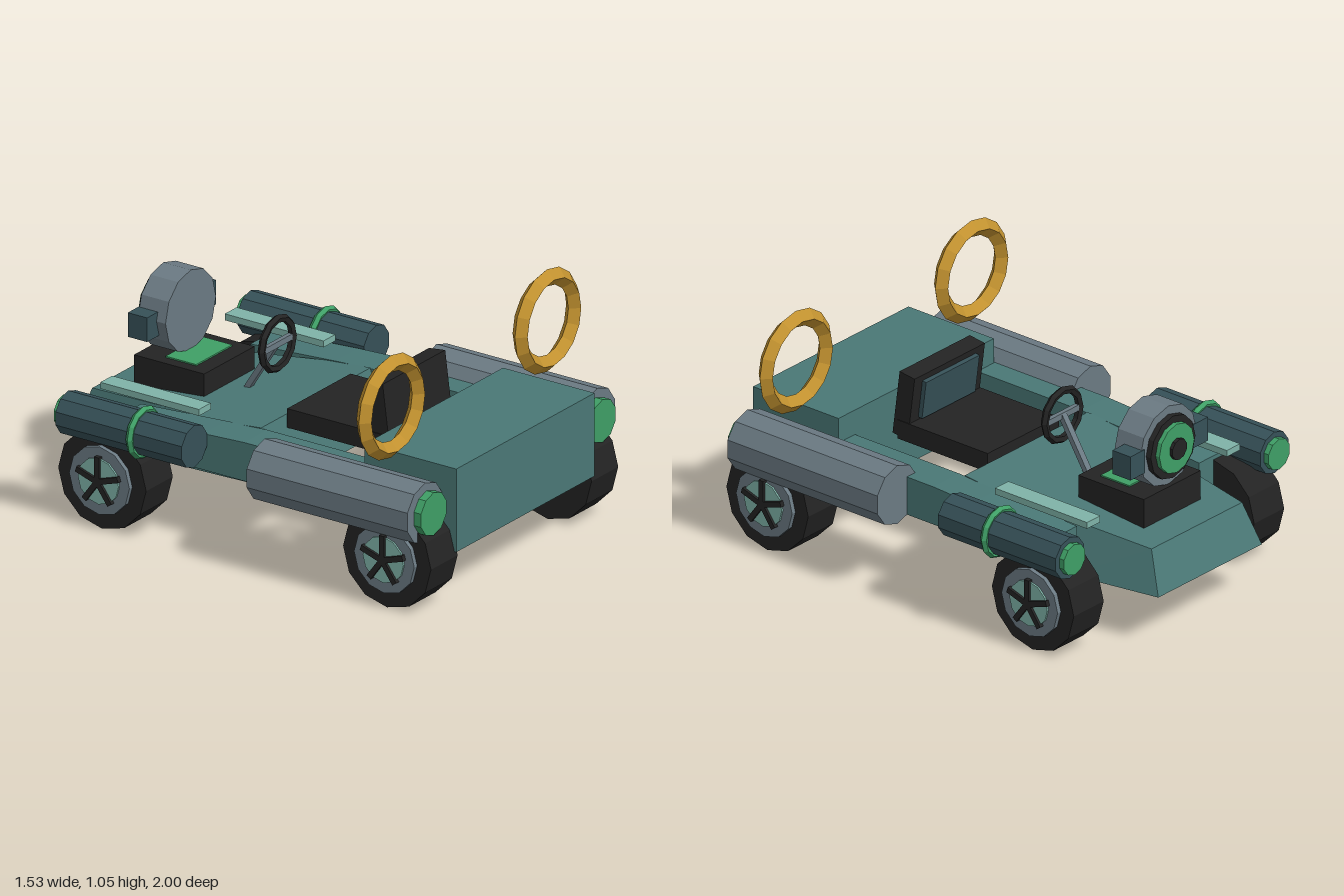
import * as THREE from 'three';

const mat = (name, color, extra = {}) => {
  const m = new THREE.MeshStandardMaterial({ color, flatShading: true, ...extra });
  m.name = name;
  return m;
};

export function createModel() {
  const M = {
    teal: mat('body teal', 0x4a7876),
    gray: mat('steel gray', 0x6b7a83),
    slate: mat('dark slate', 0x365158),
    black: mat('black', 0x232323),
    green: mat('glow green', 0x3f9f66),
    gold: mat('gold', 0xc1912f),
    mint: mat('pale mint', 0x7fb3a8),
  };
  const root = new THREE.Group();
  root.name = 'kart';

  const add = (parent, name, geo, material, x = 0, y = 0, z = 0) => {
    const mesh = new THREE.Mesh(geo, material);
    mesh.name = name;
    mesh.position.set(x, y, z);
    parent.add(mesh);
    return mesh;
  };
  // box from its limits
  const box = (parent, name, material, x0, x1, y0, y1, z0, z1) =>
    add(parent, name, new THREE.BoxGeometry(x1 - x0, y1 - y0, z1 - z0), material,
      (x0 + x1) / 2, (y0 + y1) / 2, (z0 + z1) / 2);
  // cylinder lying along z between z0 and z1
  const cylZ = (parent, name, material, r, n, x, y, z0, z1) =>
    add(parent, name, new THREE.CylinderGeometry(r, r, z1 - z0, n).rotateX(Math.PI / 2),
      material, x, y, (z0 + z1) / 2);
  // cylinder lying along x between x0 and x1
  const cylX = (parent, name, material, r, n, x0, x1) =>
    add(parent, name, new THREE.CylinderGeometry(r, r, x1 - x0, n).rotateZ(Math.PI / 2),
      material, (x0 + x1) / 2, 0, 0);

  // Hood: lofted from stations [top z, top y, top half width, bottom z, bottom y, bottom half width]
  const stations = [
    [-0.03, 0.49, 0.38, 0.04, 0.235, 0.37],
    [-0.2, 0.475, 0.385, -0.6, 0.23, 0.39],
    [-0.93, 0.41, 0.28, -1, 0.23, 0.32],
  ];
  const rings = stations.map(([zt, yt, wt, zb, yb, wb]) =>
    [[wb, yb, zb], [wt, yt, zt], [-wt, yt, zt], [-wb, yb, zb]]);
  const pos = [];
  const quad = (a, b, c, d) => pos.push(...a, ...b, ...c, ...a, ...c, ...d);
  for (let i = 0; i < rings.length - 1; i++)
    for (let j = 0; j < 4; j++) {
      const k = (j + 1) % 4;
      quad(rings[i][j], rings[i + 1][j], rings[i + 1][k], rings[i][k]);
    }
  quad(...rings[0]);
  quad(...[...rings[2]].reverse());
  const hood = new THREE.BufferGeometry();
  hood.setAttribute('position', new THREE.Float32BufferAttribute(pos, 3));
  hood.computeVertexNormals();
  add(root, 'hood', hood, M.teal);

  box(root, 'rearBody', M.teal, -0.48, 0.48, 0.235, 0.597, 0.55, 1);

  // Seat
  box(root, 'seatCushion', M.black, -0.22, 0.22, 0.44, 0.523, -0.015, 0.46);
  const back = new THREE.Group();
  back.name = 'seatBack';
  back.position.set(0, 0.6, 0.43);
  back.rotation.x = -0.13;
  root.add(back);
  box(back, 'backFrame', M.black, -0.217, 0.217, -0.15, 0.137, -0.04, 0.04);
  box(back, 'backPanel', M.slate, -0.165, 0.165, -0.06, 0.11, -0.06, -0.04);

  // Steering wheel and column
  add(root, 'steeringWheel', new THREE.TorusGeometry(0.108, 0.017, 5, 12), M.black, 0, 0.68, -0.22);
  box(root, 'steeringBar', M.gray, -0.1, 0.1, 0.667, 0.693, -0.23, -0.21);
  const column = add(root, 'steeringColumn', new THREE.BoxGeometry(0.028, 0.28, 0.024), M.gray, 0, 0.565, -0.295);
  column.rotation.x = 0.56;

  // Turbine on its base
  box(root, 'turbineBase', M.black, -0.175, 0.175, 0.42, 0.55, -0.8, -0.455);
  box(root, 'baseLight', M.green, -0.125, 0.125, 0.55, 0.556, -0.68, -0.53);
  const ty = 0.722;
  cylZ(root, 'turbineHousing', M.gray, 0.175, 12, 0, ty, -0.78, -0.645);
  cylZ(root, 'turbineRim', M.black, 0.138, 12, 0, ty, -0.805, -0.78);
  cylZ(root, 'turbineGlow', M.green, 0.108, 12, 0, ty, -0.825, -0.805);
  cylZ(root, 'turbineHub', M.black, 0.046, 10, 0, ty, -0.84, -0.825);

  // Rail side profile (z, y), extruded across its width
  const railShape = new THREE.Shape(
    [[-0.56, 0.32], [0.62, 0.32], [0.62, 0.45], [0.2, 0.478], [0, 0.488], [-0.56, 0.488]]
      .map(([x, y]) => new THREE.Vector2(x, y)));
  const railGeo = new THREE.ExtrudeGeometry(railShape, { depth: 0.16, bevelEnabled: false });
  railGeo.rotateY(Math.PI / 2);

  const makeWheel = (side, z) => {
    const wheel = new THREE.Group();
    wheel.name = 'wheel';
    wheel.position.set(0, 0.216, z);
    if (side < 0) wheel.rotation.y = Math.PI;
    cylX(wheel, 'tire', M.black, 0.216, 12, 0.465, 0.65);
    cylX(wheel, 'rim', M.gray, 0.148, 12, 0.64, 0.67);
    cylX(wheel, 'hubDisc', M.mint, 0.1, 12, 0.66, 0.678);
    for (let i = 0; i < 5; i++) {
      const geo = new THREE.BoxGeometry(0.025, 0.108, 0.024).translate(0.677, 0.054, 0);
      add(wheel, 'spoke', geo, M.black).rotation.x = (i * Math.PI * 2) / 5;
    }
    root.add(wheel);
  };

  for (const s of [1, -1]) {
    add(root, 'sideRail', railGeo, M.teal, s > 0 ? 0.378 : -0.538, 0, 0);
    for (const z of [0.78, -0.62]) makeWheel(s, z);

    // Turbine side boxes
    add(root, 'turbineMount', new THREE.BoxGeometry(0.09, 0.105, 0.095), M.slate, s * 0.195, 0.707, -0.737);

    // Rear pod with glowing cap
    cylZ(root, 'rearPod', M.gray, 0.13, 10, s * 0.597, 0.43, 0.14, 0.93);
    cylZ(root, 'rearPodCap', M.green, 0.093, 10, s * 0.587, 0.43, 0.93, 0.965);

    // Front pod with cap and band
    cylZ(root, 'frontPod', M.slate, 0.092, 10, s * 0.632, 0.46, -0.8, -0.18);
    cylZ(root, 'frontPodCap', M.green, 0.068, 10, s * 0.632, 0.46, -0.825, -0.8);
    add(root, 'frontPodBand', new THREE.TorusGeometry(0.096, 0.017, 5, 12), M.green, s * 0.632, 0.46, -0.43);

    // Raised strip beside the hood
    add(root, 'hoodStrip', new THREE.BoxGeometry(0.082, 0.028, 0.485), M.mint, s * 0.432, 0.53, -0.512);

    // Floating ring above the rear pod
    add(root, 'ring', new THREE.TorusGeometry(0.186, 0.037, 4, 16), M.gold, s * 0.542, 0.823, 0.722);
  }
  return root;
}
